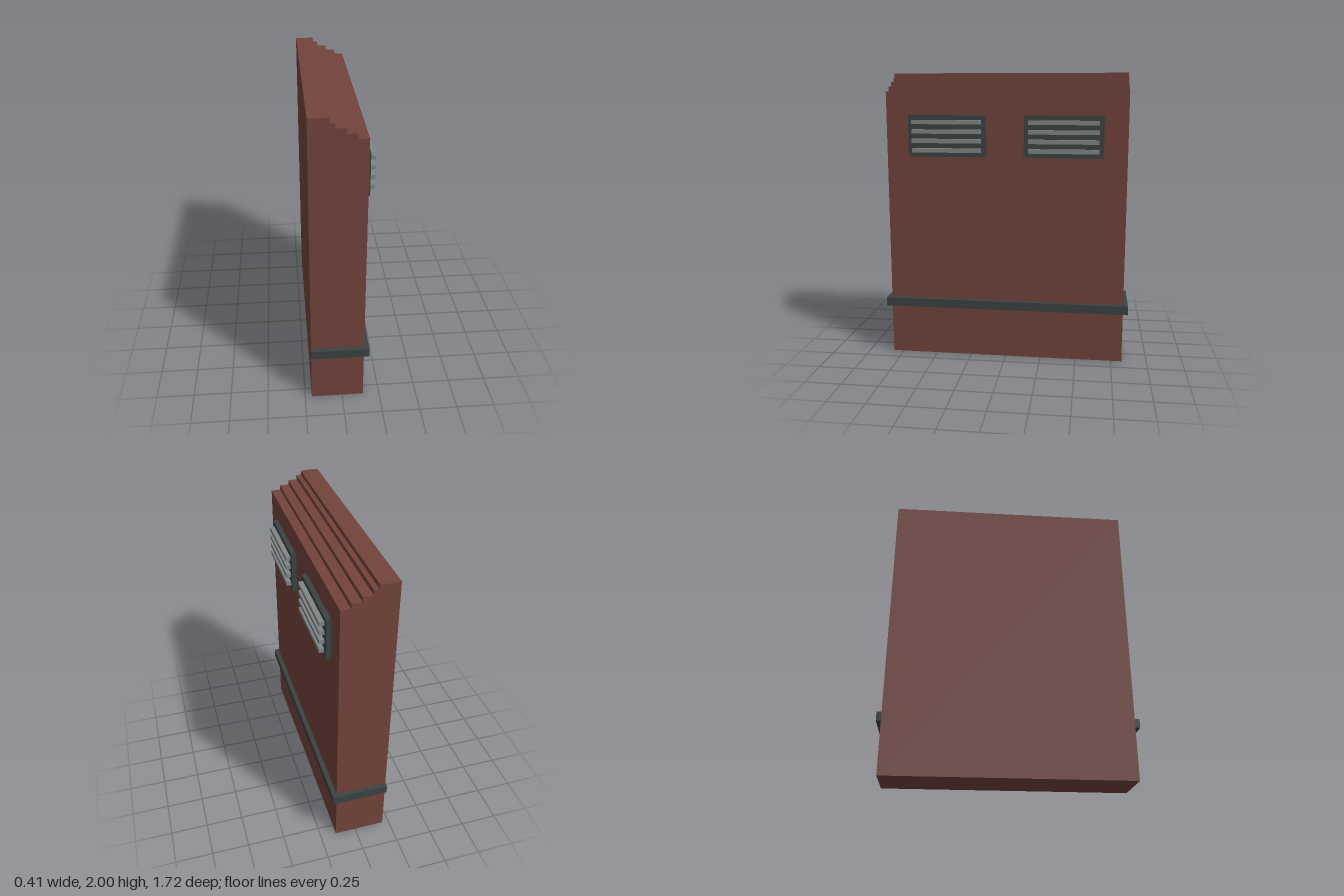
import * as THREE from 'three';

const mat = (name, color) => {
  const m = new THREE.MeshStandardMaterial({ color });
  m.name = name;
  return m;
};

export function createModel() {
  const brick = mat('brick red', 0x73433c);
  const iron = mat('dark iron', 0x3b4343);
  const steel = mat('grey steel', 0x808787);
  const model = new THREE.Group();
  model.name = 'wallPanel';

  // Box given by its limits on each axis
  const box = (parent, name, material, [x0, x1], [y0, y1], [z0, z1]) => {
    const mesh = new THREE.Mesh(new THREE.BoxGeometry(x1 - x0, y1 - y0, z1 - z0), material);
    mesh.position.set((x0 + x1) / 2, (y0 + y1) / 2, (z0 + z1) / 2);
    mesh.name = name;
    parent.add(mesh);
  };

  const back = -0.205, face = 0.141, rim = 0.173, halfLength = 0.826, bandHalf = 0.858;

  // Wall with a stepped top edge, extruded along z
  const profile = new THREE.Shape();
  profile.moveTo(back, 0);
  profile.lineTo(face, 0);
  const steps = [[face, 1.874], [0.078, 1.906], [0.014, 1.938], [-0.049, 1.969], [-0.081, 2]];
  for (const [i, [x, y]] of steps.entries()) {
    profile.lineTo(x, y);
    profile.lineTo(i < steps.length - 1 ? steps[i + 1][0] : back, y);
  }
  const wallGeometry = new THREE.ExtrudeGeometry(profile, { depth: 2 * halfLength, bevelEnabled: false });
  wallGeometry.translate(0, 0, -halfLength);
  const wall = new THREE.Mesh(wallGeometry, brick);
  wall.name = 'wall';
  model.add(wall);

  // Trim band around the face and both ends, open at the back
  const outline = new THREE.Shape([
    [back, -bandHalf], [rim, -bandHalf], [rim, bandHalf], [back, bandHalf],
    [back, halfLength], [face, halfLength], [face, -halfLength], [back, -halfLength],
  ].map(([x, z]) => new THREE.Vector2(x, z)));
  const bandGeometry = new THREE.ExtrudeGeometry(outline, { depth: 0.061, bevelEnabled: false });
  bandGeometry.rotateX(-Math.PI / 2).translate(0, 0.353, 0);
  const band = new THREE.Mesh(bandGeometry, iron);
  band.name = 'trimBand';
  model.add(band);

  // Two vents, each a plate with four slats
  for (const side of [-1, 1]) {
    const vent = new THREE.Group();
    vent.name = side > 0 ? 'frontVent' : 'rearVent';
    const z = side * 0.398;
    box(vent, 'ventPlate', iron, [face, rim], [1.433, 1.716], [z - 0.268, z + 0.268]);
    for (let i = 0; i < 4; i++) {
      const y = 1.479 + i * 0.0637;
      box(vent, 'ventSlat', steel, [rim, 0.205], [y - 0.014, y + 0.014], [z - 0.237, z + 0.237]);
    }
    model.add(vent);
  }
  return model;
}
